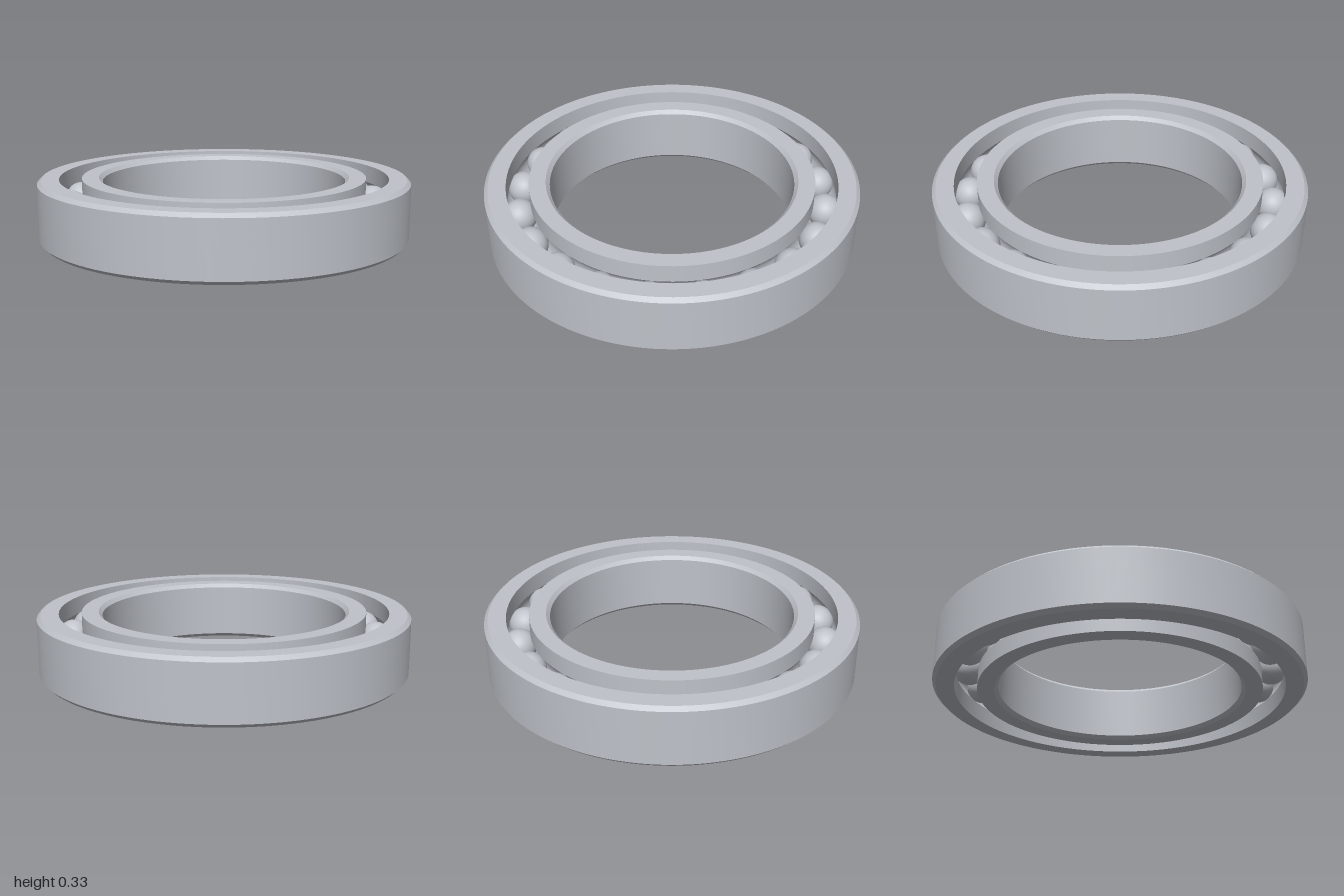
import * as THREE from 'three';
import { toCreasedNormals } from 'three/addons/utils/BufferGeometryUtils.js';

const H = 0.33, CHAMFER = 0.02, SEGMENTS = 128;
const PITCH = 0.825, BALL_R = 0.091, BALLS = 20;
const OUTER_R = 1, OUTER_LIP = 0.885, INNER_LIP = 0.765, BORE_R = 0.655;

// Arc of the ball groove in (radius, height); side is +1 for the outer ring, -1 for the inner
function groove(lip, side) {
  const half = Math.acos(Math.abs(lip - PITCH) / BALL_R);
  const points = [];
  for (let i = 0; i <= 12; i++) {
    const a = half * (1 - i / 6);
    points.push([PITCH + side * BALL_R * Math.cos(a), H / 2 + side * BALL_R * Math.sin(a)]);
  }
  return points;
}

// Closed counter-clockwise profile turned about the y axis
function ring(name, profile, material) {
  const points = [...profile, profile[0]].map(([r, y]) => new THREE.Vector2(r, y));
  const mesh = new THREE.Mesh(toCreasedNormals(new THREE.LatheGeometry(points, SEGMENTS), 0.5), material);
  mesh.name = name;
  return mesh;
}

export function createModel() {
  const model = new THREE.Group();
  model.name = 'ballBearing';
  const steel = new THREE.MeshStandardMaterial({ color: 0xbfc3ca });
  steel.name = 'steel';

  // Outer ring: chamfered outside, grooved inside
  model.add(ring('outerRing', [
    [OUTER_R - CHAMFER, 0], [OUTER_R, CHAMFER],
    [OUTER_R, H - CHAMFER], [OUTER_R - CHAMFER, H],
    [OUTER_LIP, H], ...groove(OUTER_LIP, 1), [OUTER_LIP, 0],
  ], steel));

  // Inner ring: grooved outside, chamfered bore
  model.add(ring('innerRing', [
    [INNER_LIP, 0], ...groove(INNER_LIP, -1), [INNER_LIP, H],
    [BORE_R + CHAMFER, H], [BORE_R, H - CHAMFER],
    [BORE_R, CHAMFER], [BORE_R + CHAMFER, 0],
  ], steel));

  // Balls spaced evenly in the groove
  const balls = new THREE.Group();
  balls.name = 'balls';
  const ballGeometry = new THREE.SphereGeometry(BALL_R, 32, 20);
  for (let i = 0; i < BALLS; i++) {
    const a = (i / BALLS) * Math.PI * 2;
    const ball = new THREE.Mesh(ballGeometry, steel);
    ball.name = `ball${i + 1}`;
    ball.position.set(PITCH * Math.cos(a), H / 2, PITCH * Math.sin(a));
    balls.add(ball);
  }
  model.add(balls);
  return model;
}
